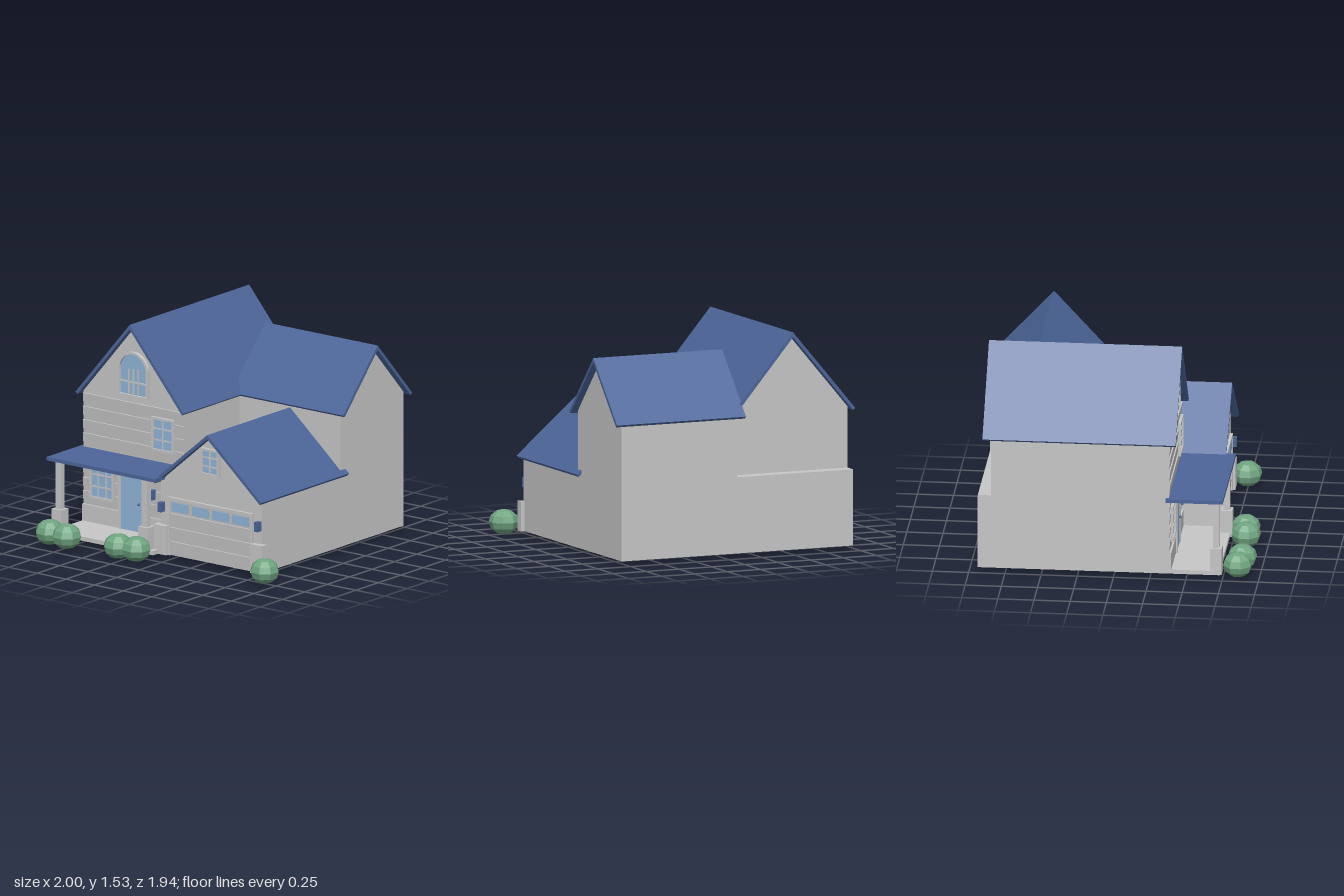
import * as THREE from 'three';

const mat = (name, color) => {
  const m = new THREE.MeshStandardMaterial({ color });
  m.name = name;
  return m;
};

export function createModel() {
  const house = new THREE.Group();
  house.name = 'house';
  const wall = mat('wall grey', 0xc6c6c6);
  const roofBlue = mat('roof blue', 0x4c6598);
  const glass = mat('glass blue', 0x8fb5d6);
  const leaf = mat('leaf green', 0x6fa580);
  leaf.flatShading = true;

  const add = (name, geo, material, parent = house) => {
    const m = new THREE.Mesh(geo, material);
    m.name = name;
    parent.add(m);
    return m;
  };
  // box given by its minimum and maximum on each axis
  const box = (name, x0, x1, y0, y1, z0, z1, material = wall, parent = house) =>
    add(name, new THREE.BoxGeometry(x1 - x0, y1 - y0, z1 - z0)
      .translate((x0 + x1) / 2, (y0 + y1) / 2, (z0 + z1) / 2), material, parent);
  const extrude = (points, a, b) => {
    const shape = new THREE.Shape(points.map(p => new THREE.Vector2(...p)));
    return new THREE.ExtrudeGeometry(shape, { depth: b - a, bevelEnabled: false }).translate(0, 0, a);
  };

  // gabled wing: pentagon walls and a folded roof slab; along x when sideways
  function wing(name, o) {
    const { c, half, peak, run, eave, walls, roof, sideways } = o;
    const t = 0.022, slope = (peak - eave) / run, len = Math.hypot(1, slope);
    const drop = t * len, nx = t * slope / len, ny = t / len;
    const turn = g => (sideways ? g.rotateY(Math.PI / 2) : g);
    const top = peak - drop + 0.004;
    add(name + 'Walls', turn(extrude([
      [c - half, 0.03], [c + half, 0.03], [c + half, top - slope * half],
      [c, top], [c - half, top - slope * half]], ...walls)), wall);
    add(name + 'Roof', turn(extrude([
      [c, peak], [c - run, eave], [c - run + nx, eave - ny],
      [c, peak - drop], [c + run - nx, eave - ny], [c + run, eave]], ...roof)), roofBlue);
  }
  wing('main', { c: -0.53, half: 0.44, peak: 1.535, run: 0.473, eave: 0.98, walls: [-0.85, 0.38], roof: [-0.905, 0.43] });
  wing('side', { c: 0.5875, half: 0.3525, peak: 1.4, run: 0.385, eave: 0.982, walls: [-0.09, 0.79], roof: [-0.14, 0.84], sideways: true });
  wing('garage', { c: 0.35, half: 0.44, peak: 0.953, run: 0.473, eave: 0.548, walls: [-0.24, 0.64], roof: [-0.29, 0.69] });
  box('rearLedge', -0.97, -0.09, 0.03, 0.56, -0.94, -0.84);

  // lapped boards: each row leans out to a small ledge at its top
  function siding(name, x0, x1, y0, y1, z, rows) {
    const h = (y1 - y0) / rows, pts = [[0.004, y0]];
    for (let i = 0; i < rows; i++) {
      pts.push([-0.002, y0 + i * h], [-0.011, y0 + (i + 1) * h - 0.001]);
    }
    pts.push([0.004, y1]);
    add(name, extrude(pts.reverse(), x0, x1).rotateY(Math.PI / 2).translate(0, 0, z), wall);
  }
  siding('upperSiding', -0.97, -0.09, 0.59, 0.97, 0.38, 4);
  siding('lowerSiding', -0.97, -0.09, 0.18, 0.56, 0.38, 4);
  box('wallBase', -0.97, -0.09, 0.03, 0.18, 0.37, 0.397);

  // porch
  box('porchFloor', -0.97, -0.09, 0.03, 0.06, 0.37, 0.73);
  box('porchRoof', -1, -0.055, 0.56, 0.585, 0.36, 0.755, roofBlue);
  box('porchBeam', -0.97, -0.12, 0.55, 0.561, 0.685, 0.725);
  for (const x of [-0.923, -0.168]) {
    box('columnBase', x - 0.042, x + 0.042, 0.03, 0.22, 0.665, 0.745);
    box('column', x - 0.024, x + 0.024, 0.22, 0.56, 0.683, 0.727);
  }

  // window: frame border, pane and glazing bars
  function windowAt(name, x0, x1, y0, y1, z, cols, rows) {
    const g = new THREE.Group();
    g.name = name;
    house.add(g);
    const b = 0.016, w = x1 - x0, h = y1 - y0, s = 0.005;
    box('frame', x0, x0 + b, y0, y1, z, z + 0.025, wall, g);
    box('frame', x1 - b, x1, y0, y1, z, z + 0.025, wall, g);
    box('frame', x0 + b, x1 - b, y0, y0 + b, z, z + 0.025, wall, g);
    box('frame', x0 + b, x1 - b, y1 - b, y1, z, z + 0.025, wall, g);
    box('pane', x0 + b, x1 - b, y0 + b, y1 - b, z + 0.008, z + 0.015, glass, g);
    for (let i = 1; i < cols; i++) {
      const x = x0 + w * i / cols;
      box('bar', x - s, x + s, y0 + b, y1 - b, z + 0.01, z + 0.02, wall, g);
    }
    for (let i = 1; i < rows; i++) {
      const y = y0 + h * i / rows;
      box('bar', x0 + b, x1 - b, y - s, y + s, z + 0.01, z + 0.02, wall, g);
    }
  }
  windowAt('upperWindow', -0.362, -0.168, 0.665, 0.905, 0.38, 2, 3);
  windowAt('porchWindow', -0.9, -0.69, 0.235, 0.495, 0.38, 3, 3);
  windowAt('garageGableWindow', 0.27, 0.43, 0.655, 0.845, 0.64, 2, 3);

  // arched attic window
  const arch = (r, y0, Path = THREE.Shape) => {
    const p = new Path();
    p.moveTo(-0.525 - r, y0);
    p.lineTo(-0.525 + r, y0);
    p.lineTo(-0.525 + r, 1.203);
    p.absarc(-0.525, 1.203, r, 0, Math.PI, false);
    p.closePath();
    return p;
  };
  const frame = arch(0.131, 1.012);
  frame.holes.push(arch(0.115, 1.028, THREE.Path));
  const depth = d => ({ depth: d, bevelEnabled: false, curveSegments: 12 });
  add('archFrame', new THREE.ExtrudeGeometry(frame, depth(0.025)).translate(0, 0, 0.38), wall);
  add('archPane', new THREE.ExtrudeGeometry(arch(0.116, 1.027), depth(0.008)).translate(0, 0, 0.38), glass);
  for (const x of [-0.565, -0.525, -0.485]) box('archBar', x - 0.005, x + 0.005, 1.028, 1.21, 0.38, 0.396);
  box('archBar', -0.64, -0.41, 1.112, 1.122, 0.38, 0.396);

  // front door
  box('doorFrame', -0.645, -0.43, 0.475, 0.495, 0.38, 0.41);
  box('doorFrame', -0.645, -0.627, 0.06, 0.475, 0.38, 0.41);
  box('doorFrame', -0.43, -0.408, 0.06, 0.495, 0.38, 0.41);
  box('frontDoor', -0.627, -0.43, 0.06, 0.475, 0.38, 0.402, glass);
  add('doorKnob', new THREE.SphereGeometry(0.009, 8, 6).translate(-0.465, 0.26, 0.41), roofBlue);

  // garage door
  box('garageDoorFrame', -0.02, 0.72, 0.425, 0.445, 0.64, 0.66);
  for (const x of [-0.02, 0.7]) box('garageDoorFrame', x, x + 0.02, 0.03, 0.425, 0.64, 0.66);
  siding('garageDoorPanels', 0, 0.7, 0.03, 0.43, 0.642, 4);
  for (let i = 0; i < 4; i++) {
    const x = 0.015 + i * 0.176;
    box('garageDoorPane', x, x + 0.142, 0.347, 0.412, 0.65, 0.657, glass);
  }
  for (const x of [-0.125, 0.715]) box('garagePier', x, x + 0.104, 0.03, 0.237, 0.625, 0.677);

  // wall lanterns
  for (const [x, y, z] of [[-0.353, 0.347, 0.38], [-0.074, 0.365, 0.64], [0.768, 0.365, 0.64]]) {
    box('lantern', x - 0.016, x + 0.016, y - 0.034, y + 0.034, z, z + 0.042, roofBlue);
  }

  // bushes
  for (const [x, z] of [[-0.897, 0.85], [-0.738, 0.866], [-0.302, 0.85], [-0.157, 0.834], [0.893, 0.743]]) {
    const b = add('bush', new THREE.SphereGeometry(0.104, 8, 6), leaf);
    b.scale.y = 0.85;
    b.rotation.y = 0.3;
    b.position.set(x, 0.0884, z);
  }
  return house;
}
